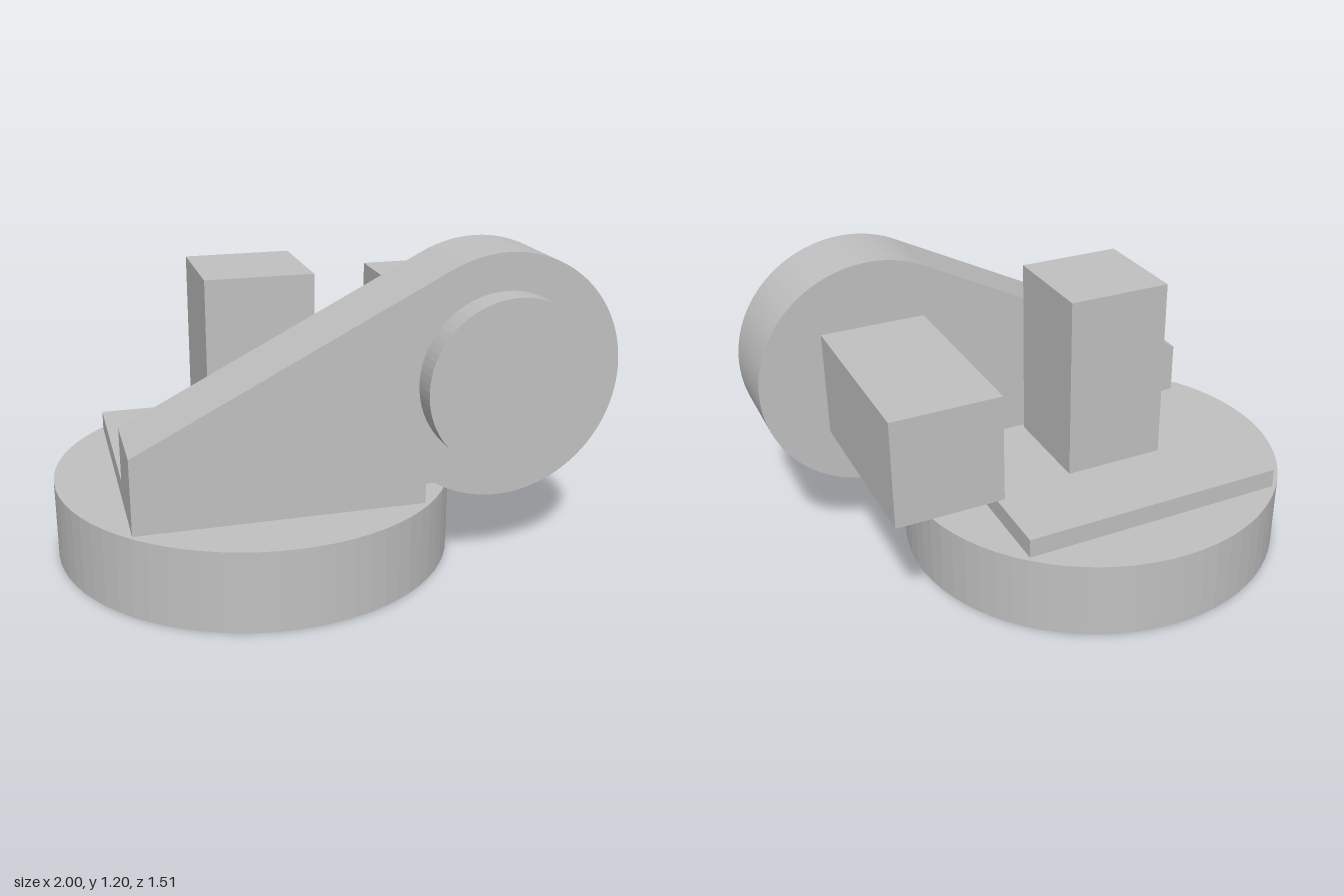
import * as THREE from 'three';

export function createModel() {
  const model = new THREE.Group();
  const grey = new THREE.MeshStandardMaterial({ color: 0xc0c0c0 });
  grey.name = 'plain grey';

  const add = (name, geometry) => {
    const mesh = new THREE.Mesh(geometry, grey);
    mesh.name = name;
    model.add(mesh);
    return mesh;
  };

  // Box given by its lower and upper limits on each axis
  const block = (name, [x0, x1], [y0, y1], [z0, z1]) =>
    add(name, new THREE.BoxGeometry(x1 - x0, y1 - y0, z1 - z0))
      .position.set((x0 + x1) / 2, (y0 + y1) / 2, (z0 + z1) / 2);

  // Extrusion along z with finely faceted curves
  const extrude = (shape, depth) =>
    new THREE.ExtrudeGeometry(shape, { depth, bevelEnabled: false, curveSegments: 36 });
  const disc = (radius) => new THREE.Shape().absarc(0, 0, radius, 0, Math.PI * 2);

  // Round base
  const base = add('base', extrude(disc(0.755), 0.3).rotateX(-Math.PI / 2));
  base.position.x = -0.245;

  // Foot plate and upright post
  block('footPlate', [-0.77, 0.275], [0.3, 0.375], [-0.523, 0.22]);
  block('post', [-0.445, -0.05], [0.375, 1.085], [-0.2, 0.2]);

  // Side arm: sloped top edge running tangent into a round head
  const cx = 0.55, cy = 0.75, r = 0.447;
  const footX = -0.77, footY = 0.578;
  const dx = cx - footX, dy = cy - footY;
  const tangent = Math.atan2(dy, dx) + Math.asin(r / Math.hypot(dx, dy)) + Math.PI / 2;
  const notch = Math.PI + Math.asin((cy - 0.375) / r);
  const arm = new THREE.Shape();
  arm.moveTo(footX, 0.3);
  arm.lineTo(0.275, 0.3);
  arm.lineTo(0.275, 0.375);
  arm.absarc(cx, cy, r, notch, tangent + Math.PI * 2);
  arm.lineTo(footX, footY);
  arm.closePath();
  add('sideArm', extrude(arm, 0.303)).position.z = 0.22;

  // Round boss on the front of the head, square shaft behind it
  add('boss', extrude(disc(0.312), 0.1)).position.set(cx, cy, 0.523);
  block('squareShaft', [0.354, 0.75], [0.55, 0.95], [-0.49, 0.22]);

  return model;
}
